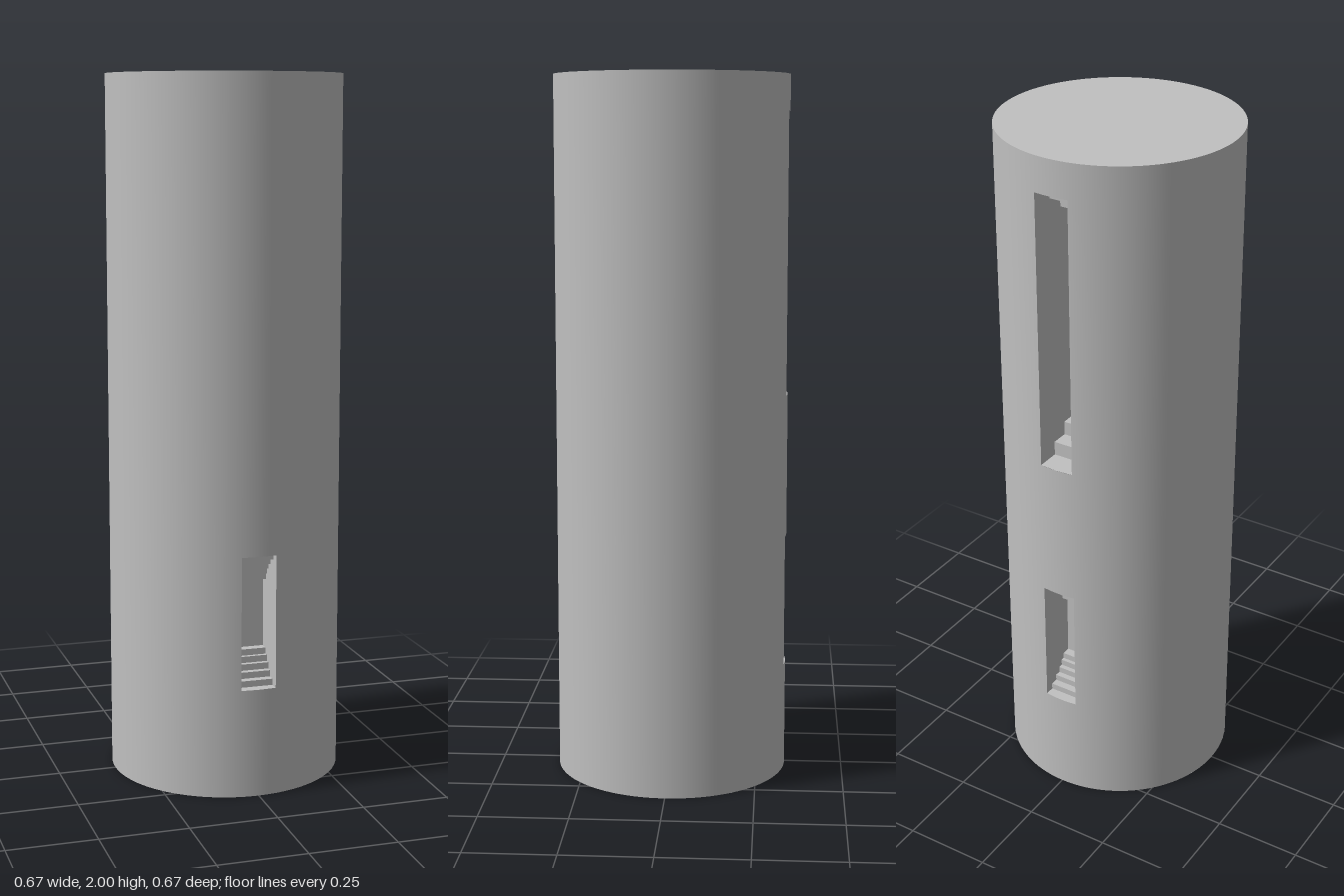
import * as THREE from 'three';

const R = 0.333;          // body radius
const HEIGHT = 2;
const W = 0.05;           // half width of a slot
const A = Math.asin(W / R);

export function createModel() {
  const model = new THREE.Group();
  const grey = new THREE.MeshStandardMaterial({ color: 0xc0c0c0, side: THREE.DoubleSide });
  grey.name = 'grey';

  const add = (parent, name, geometry) => {
    const mesh = new THREE.Mesh(geometry, grey);
    mesh.name = name;
    parent.add(mesh);
    return mesh;
  };

  // Curved skin between two heights and two angles (angle 0 faces the front)
  const skin = (name, y0, y1, start, length, segments) => {
    const g = new THREE.CylinderGeometry(R, R, y1 - y0, segments, 1, true, start, length);
    add(model, name, g.translate(0, (y0 + y1) / 2, 0));
  };

  // Stepped outline of a pocket as [height, depth] pairs, mirrored top to bottom
  const pocketProfile = (half, flat, depth) => {
    const c = (half * half - depth * depth) / (2 * depth);
    const radius = c + depth;
    const steps = 5, rise = (half - flat) / steps;
    const lower = [[-half, 0]];
    for (let i = 0; i <= steps; i++) {
      const y = -half + i * rise;
      const next = y + rise;
      const d = i === steps ? depth : Math.sqrt(radius * radius - next * next) - c;
      if (i > 0) lower.push([y, lower[lower.length - 1][1]]);
      lower.push([y, d]);
    }
    return [...lower, ...lower.map(([y, d]) => [-y, d]).reverse()];
  };

  // Pocket with two flat cheeks and a stepped floor
  const pocket = (name, y, half, flat, depth, turn) => {
    const group = new THREE.Group();
    group.name = name;
    const profile = pocketProfile(half, flat, depth);
    const rim = Math.sqrt(R * R - W * W);

    const outline = new THREE.Shape(profile.map(([h, d]) => new THREE.Vector2(d ? R - d : rim, h)));
    for (const side of [-1, 1]) {
      const cheek = new THREE.ShapeGeometry(outline).rotateY(-Math.PI / 2);
      add(group, 'pocketCheek', cheek.translate(side * W, 0, 0));
    }

    const point = (x, [h, d]) => [x, h, d ? R - d : Math.sqrt(R * R - x * x)];
    const positions = [];
    for (let i = 0; i < profile.length - 1; i++) {
      for (const x of [-W, 0]) {
        const a = point(x, profile[i]), b = point(x + W, profile[i]);
        const c = point(x + W, profile[i + 1]), d = point(x, profile[i + 1]);
        positions.push(...a, ...b, ...c, ...a, ...c, ...d);
      }
    }
    const floor = new THREE.BufferGeometry();
    floor.setAttribute('position', new THREE.Float32BufferAttribute(positions, 3));
    floor.computeVertexNormals();
    add(group, 'pocketSteps', floor);

    group.position.y = y;
    group.rotation.y = turn;
    model.add(group);
  };

  // Two large side skins, leaving narrow strips at the front and back
  skin('leftSkin', 0, HEIGHT, A, Math.PI - 2 * A, 60);
  skin('rightSkin', 0, HEIGHT, Math.PI + A, Math.PI - 2 * A, 60);

  // Strips above, below and between the slots
  for (const [y0, y1] of [[0, 0.31], [0.69, HEIGHT]]) skin('frontStrip', y0, y1, -A, 2 * A, 6);
  for (const [y0, y1] of [[0, 0.31], [0.69, 1.1], [1.9, HEIGHT]]) {
    skin('backStrip', y0, y1, Math.PI - A, 2 * A, 6);
  }

  // End caps
  add(model, 'topCap', new THREE.CircleGeometry(R, 128).rotateX(-Math.PI / 2).translate(0, HEIGHT, 0));
  add(model, 'bottomCap', new THREE.CircleGeometry(R, 128).rotateX(Math.PI / 2));

  // Small pockets front and back, and a long one high on the back
  pocket('frontPocket', 0.5, 0.19, 0.1, 0.12, 0);
  pocket('lowerBackPocket', 0.5, 0.19, 0.1, 0.12, Math.PI);
  pocket('upperBackPocket', 1.5, 0.4, 0.2, 0.26, Math.PI);

  return model;
}
